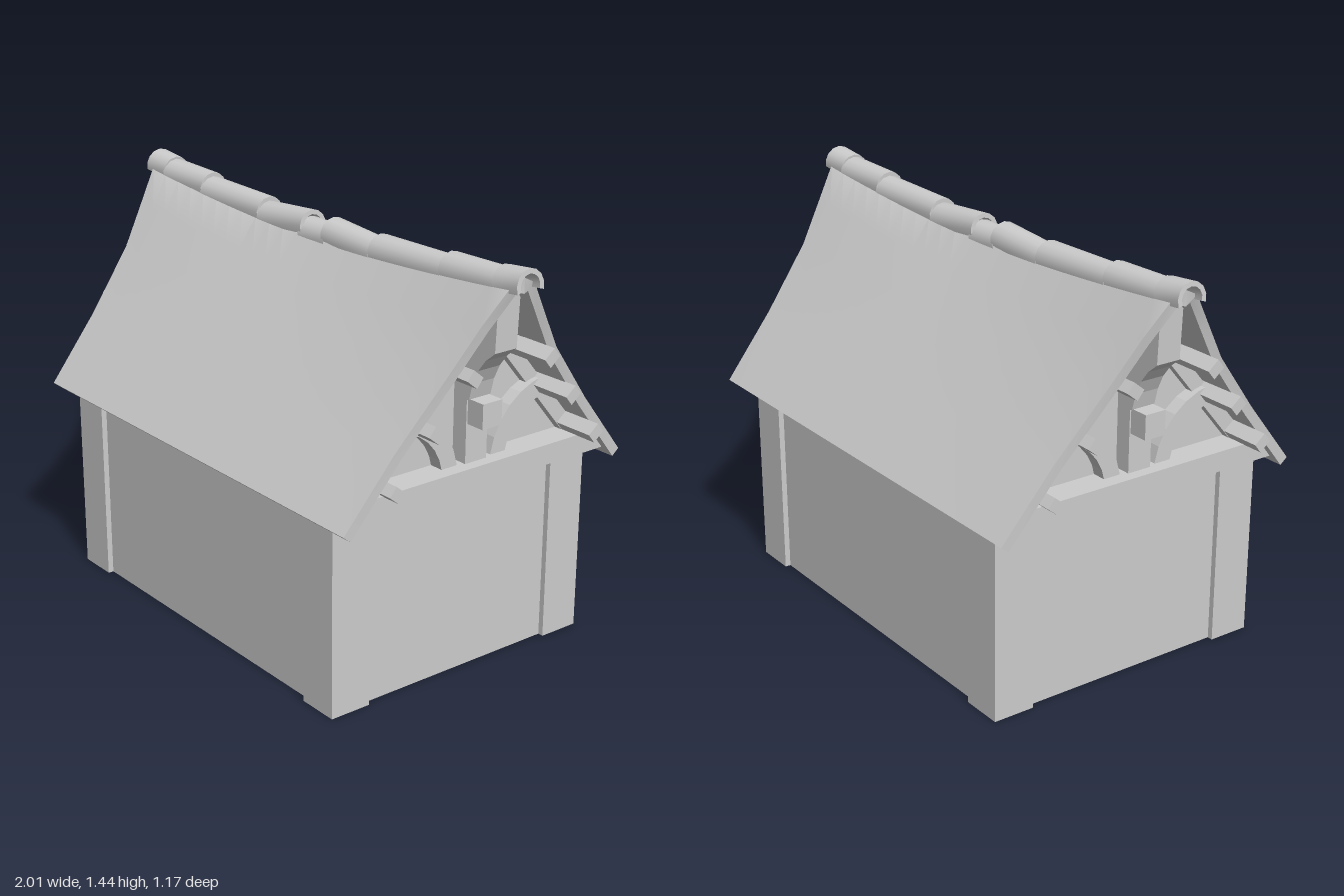
import * as THREE from 'three';
import { toCreasedNormals } from 'three/addons/utils/BufferGeometryUtils.js';

const plaster = new THREE.MeshStandardMaterial({ color: 0xcccccc, side: THREE.DoubleSide });
plaster.name = 'pale grey';

function add(parent, name, geometry) {
  const mesh = new THREE.Mesh(geometry, plaster);
  mesh.name = name;
  parent.add(mesh);
  return mesh;
}

// Box given by its limits on each axis
function box(parent, name, [x0, x1], [y0, y1], [z0, z1]) {
  const mesh = add(parent, name, new THREE.BoxGeometry(x1 - x0, y1 - y0, z1 - z0));
  mesh.position.set((x0 + x1) / 2, (y0 + y1) / 2, (z0 + z1) / 2);
  return mesh;
}

// Outline in (z, y) extruded along x from x0 to x1
function slab(parent, name, points, x0, x1) {
  const shape = new THREE.Shape(points.map(([z, y]) => new THREE.Vector2(-z, y)));
  const geometry = new THREE.ExtrudeGeometry(shape, { depth: x1 - x0, bevelEnabled: false });
  geometry.rotateY(Math.PI / 2).translate(x0, 0, 0);
  return add(parent, name, geometry);
}

// Points of an arched band in (z, y)
function band(cz, cy, inner, outer, from, to, steps) {
  const out = [], back = [];
  for (let i = 0; i <= steps; i++) {
    const a = from + (to - from) * i / steps;
    out.push([cz + outer * Math.cos(a), cy + outer * Math.sin(a)]);
    back.unshift([cz + inner * Math.cos(a), cy + inner * Math.sin(a)]);
  }
  return [...out, ...back];
}

// Sagging roof: a thick folded section swept along x
function roofGeometry() {
  const middle = [[0.585, 0.68], [0.4, 0.9], [0.225, 1.11], [0.13, 1.227], [0.05, 1.325], [0, 1.345]];
  const end = [[0.585, 0.68], [0.4, 0.907], [0.225, 1.125], [0.13, 1.27], [0.05, 1.385], [0, 1.41]];
  const columns = 24, positions = [], index = [];
  const half = middle.length, top = 2 * half - 1, ring = 2 * top;
  for (let i = 0; i <= columns; i++) {
    const u = -1 + 2 * i / columns, lift = Math.abs(u) ** 1.7;
    const side = middle.map(([z, y], k) => [z, y + (end[k][1] - y) * lift]);
    const outer = [...side, ...side.slice(0, -1).reverse().map(([z, y]) => [-z, y])];
    const inner = outer.map(([z, y]) => z === 0 ? [0, y - 0.05] : [z - Math.sign(z) * 0.027, y - 0.022]);
    for (const [j, [z, y]] of [...outer, ...inner.reverse()].entries()) {
      const k = j < top ? j : ring - 1 - j;
      const t = (outer[k][1] - 0.68) / 0.73;
      positions.push(u * (0.855 + 0.125 * t * t), y, z);
    }
  }
  for (let i = 0; i < columns; i++) {
    for (let j = 0; j < ring; j++) {
      const a = i * ring + j, b = i * ring + (j + 1) % ring;
      index.push(a, a + ring, b, b, a + ring, b + ring);
    }
  }
  // Gable edges
  for (let k = 0; k < top - 1; k++) {
    const a = k, b = k + 1, c = ring - 2 - k, d = ring - 1 - k, e = columns * ring;
    index.push(a, b, c, a, c, d, e + a, e + c, e + b, e + a, e + d, e + c);
  }
  const geometry = new THREE.BufferGeometry();
  geometry.setAttribute('position', new THREE.Float32BufferAttribute(positions, 3));
  geometry.setIndex(index);
  return toCreasedNormals(geometry, 0.5);
}

// Timberwork of one gable end, facing +x
function gableEnd() {
  const gable = new THREE.Group();
  gable.name = 'gableEnd';
  const infill = [[0.5, 0.69], [0.2, 1.06], [0, 1.28], [-0.2, 1.06], [-0.5, 0.69]];
  slab(gable, 'gableInfill', infill, 0.71, 0.73);
  slab(gable, 'tieBeam', [[0.53, 0.69], [0.475, 0.76], [-0.475, 0.76], [-0.53, 0.69]], 0.7, 0.83);
  box(gable, 'kingPost', [0.72, 0.79], [0.76, 1.32], [-0.045, 0.045]);
  box(gable, 'bracketBlock', [0.72, 0.86], [0.895, 0.98], [-0.04, 0.04]);

  // Curved strut carrying the overhanging ridge
  const strut = new THREE.Shape();
  strut.moveTo(0.76, 0.96);
  strut.lineTo(0.8, 0.98);
  strut.quadraticCurveTo(0.82, 1.1, 0.91, 1.16);
  strut.lineTo(0.92, 1.39);
  strut.lineTo(0.84, 1.36);
  strut.lineTo(0.83, 1.22);
  strut.quadraticCurveTo(0.76, 1.15, 0.74, 1.0);
  const strutGeometry = new THREE.ExtrudeGeometry(strut, { depth: 0.09, bevelEnabled: false, curveSegments: 4 });
  add(gable, 'ridgeStrut', strutGeometry.translate(0, 0, -0.045));

  for (const s of [1, -1]) {
    // Arched brace from tie beam to rafter
    const arch = band(0.33, 0.72, 0.2, 0.262, Math.PI * 0.95, Math.PI * 0.53, 6);
    slab(gable, 'archBrace', arch.map(([z, y]) => [s * z, y]), 0.72, 0.78);
    const rafter = [[0.525, 0.7], [0.05, 1.265], [0.03, 1.21], [0.475, 0.68]];
    slab(gable, 'rafter', rafter.map(([z, y]) => [s * z, y]), 0.72, 0.76);
  }
  return gable;
}

export function createModel() {
  const model = new THREE.Group();
  model.name = 'house';

  // Walls, open underneath
  const body = new THREE.Group();
  body.name = 'body';
  body.position.set(0.005, 0, 0.01);
  model.add(body);
  for (const s of [1, -1]) {
    const long = add(body, 'longWall', new THREE.PlaneGeometry(1.2, 0.72));
    long.position.set(0, 0.36, s * 0.515);
    const short = add(body, 'endWall', new THREE.PlaneGeometry(0.78, 0.72));
    short.position.set(s * 0.725, 0.36, 0);
    if (s < 0) long.rotation.y = Math.PI;
    short.rotation.y = s * Math.PI / 2;

    // Hollow corner posts
    for (const t of [1, -1]) {
      const tube = new THREE.CylinderGeometry(0.075 * Math.SQRT2, 0.075 * Math.SQRT2, 0.69, 4, 1, true);
      const post = add(body, 'cornerPost', toCreasedNormals(tube.rotateY(Math.PI / 4), 0.5));
      post.position.set(s * 0.67, 0.345, t * 0.46);
    }
  }

  add(model, 'roof', roofGeometry());

  // Purlins running under the roof and out past the gables
  for (const [z, y, reach] of [[0.16, 1.115, 0.952], [0.285, 0.957, 0.928], [0.418, 0.79, 0.908]]) {
    for (const s of [1, -1]) {
      const purlin = box(model, 'purlin', [-reach, reach], [y - 0.025, y + 0.025], [s * z - 0.02, s * z + 0.02]);
      purlin.rotation.x = s * 0.89;
    }
  }

  // Gable ends, the second turned half round
  const right = gableEnd(), left = gableEnd();
  left.rotation.y = Math.PI;
  model.add(right, left);

  // Ridge tiles: start, end and top height at each
  const ridge = new THREE.Group();
  ridge.name = 'ridgeTiles';
  model.add(ridge);
  const arc = band(0, -0.055, 0.04, 0.056, -0.3, Math.PI + 0.3, 8);
  const tiles = [[0.06, 0.31, 1.402, 1.383], [0.305, 0.655, 1.398, 1.404],
    [0.65, 0.895, 1.418, 1.424], [0.89, 1, 1.432, 1.443]];
  const addTile = (x0, x1, y0, y1) => {
    const length = Math.hypot(x1 - x0, y1 - y0);
    const tile = slab(ridge, 'ridgeTile', arc, -length / 2, length / 2);
    tile.geometry = toCreasedNormals(tile.geometry, 0.6);
    tile.position.set((x0 + x1) / 2, (y0 + y1) / 2, 0);
    tile.rotation.z = Math.atan2(y1 - y0, x1 - x0);
  };
  addTile(-0.07, 0.07, 1.378, 1.378);
  for (const [x0, x1, y0, y1] of tiles) {
    addTile(x0, x1, y0, y1);
    addTile(-x1, -x0, y1, y0);
  }
  return model;
}
